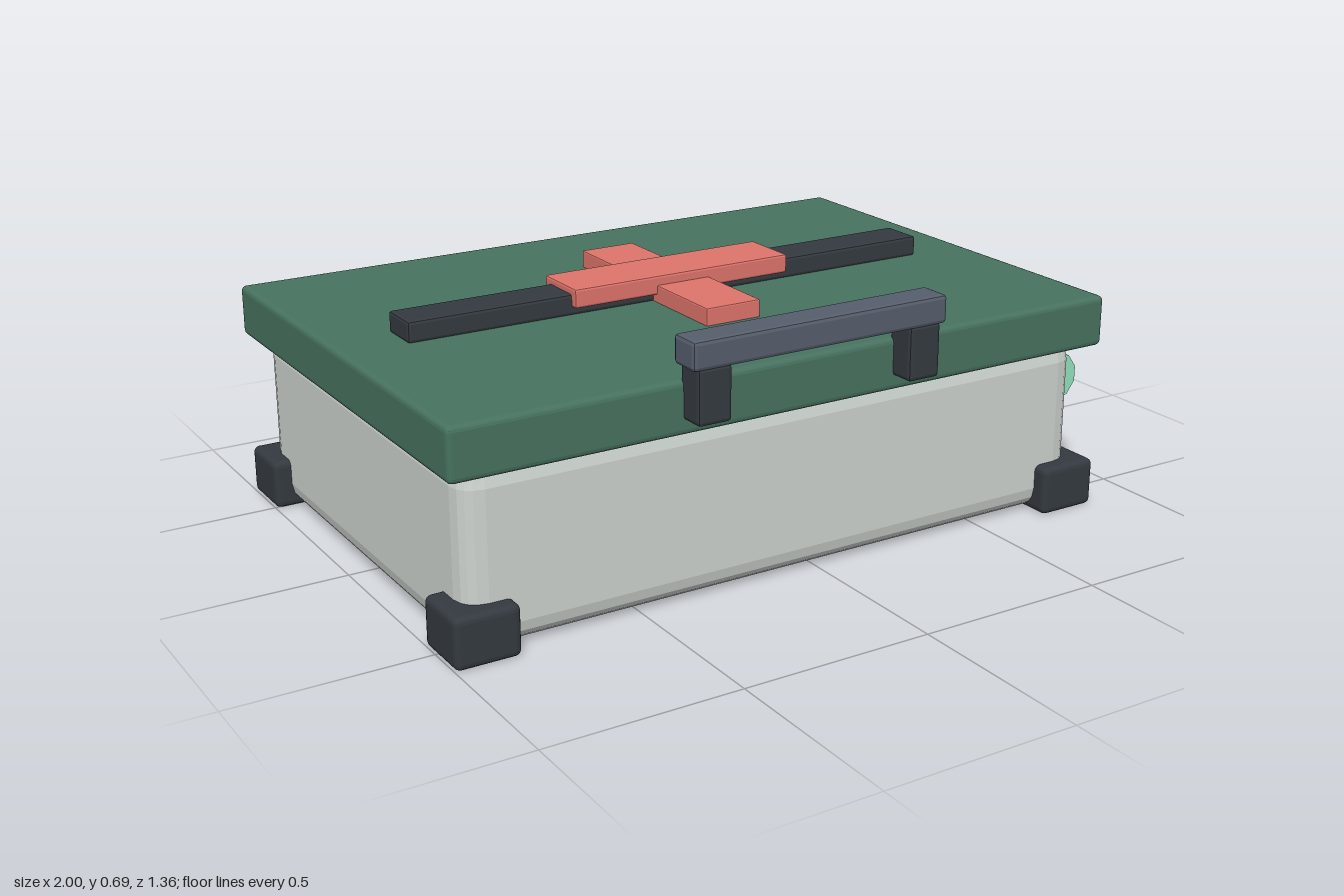
import * as THREE from 'three';
import { RoundedBoxGeometry } from 'three/addons/geometries/RoundedBoxGeometry.js';

const material = (color) => new THREE.MeshStandardMaterial({ color, flatShading: true });
const shell = material(0xcdd3cf);
const green = material(0x47725f);
const dark = material(0x343a40);
const slate = material(0x565e6c);
const red = material(0xde746b);
const mint = material(0x92e3bc);

export function createModel() {
  const model = new THREE.Group();

  // Rounded block given by its [min, max] range on each axis
  function block(name, mat, [x0, x1], [y0, y1], [z0, z1], radius = 0.008, segments = 1) {
    const geometry = new RoundedBoxGeometry(x1 - x0, y1 - y0, z1 - z0, segments, radius);
    const mesh = new THREE.Mesh(geometry, mat);
    mesh.name = name;
    mesh.position.set((x0 + x1) / 2, (y0 + y1) / 2, (z0 + z1) / 2);
    model.add(mesh);
  }

  // Faceted cylinder lying along z
  function roll(name, mat, radius, sides, z0, z1) {
    const geometry = new THREE.CylinderGeometry(radius, radius, z1 - z0, sides).rotateX(Math.PI / 2);
    const mesh = new THREE.Mesh(geometry, mat);
    mesh.name = name;
    mesh.position.set(0.913, 0.276, (z0 + z1) / 2);
    model.add(mesh);
  }

  // Case body and overhanging lid
  block('caseBody', shell, [-0.955, 0.805], [0.004, 0.46], [-0.61, 0.57], 0.06, 2);
  block('lid', green, [-1, 0.85], [0.442, 0.575], [-0.65, 0.612], 0.014, 2);

  // Corner guards, also serving as feet
  for (const x of [[-1, -0.835], [0.685, 0.85]]) {
    for (const z of [[-0.65, -0.485], [0.447, 0.612]]) {
      block('cornerGuard', dark, x, [0, 0.128], z, 0.016, 2);
    }
  }

  // Strap and raised cross on the lid
  block('lidStrap', dark, [-0.83, 0.68], [0.573, 0.628], [-0.076, 0.04]);
  block('crossUpright', red, [-0.155, 0], [0.572, 0.62], [-0.335, 0.296], 0.004);
  block('crossBar', red, [-0.39, 0.24], [0.595, 0.645], [-0.1, 0.06], 0.006);

  // Front handle on two posts
  block('handleGrip', slate, [-0.43, 0.28], [0.613, 0.685], [0.592, 0.68], 0.01);
  for (const x of [-0.37, 0.22]) {
    block('handlePost', dark, [x - 0.045, x + 0.045], [0.48, 0.62], [0.596, 0.677], 0.01);
  }

  // Back hinges
  for (const x of [-0.58, 0.43]) {
    block('hinge', slate, [x - 0.105, x + 0.105], [0.347, 0.462], [-0.68, -0.6], 0.012);
  }

  // Side roll with its end cap
  roll('sideRoll', mint, 0.069, 10, -0.38, 0.382);
  roll('rollCap', slate, 0.085, 8, -0.44, -0.358);

  return model;
}
